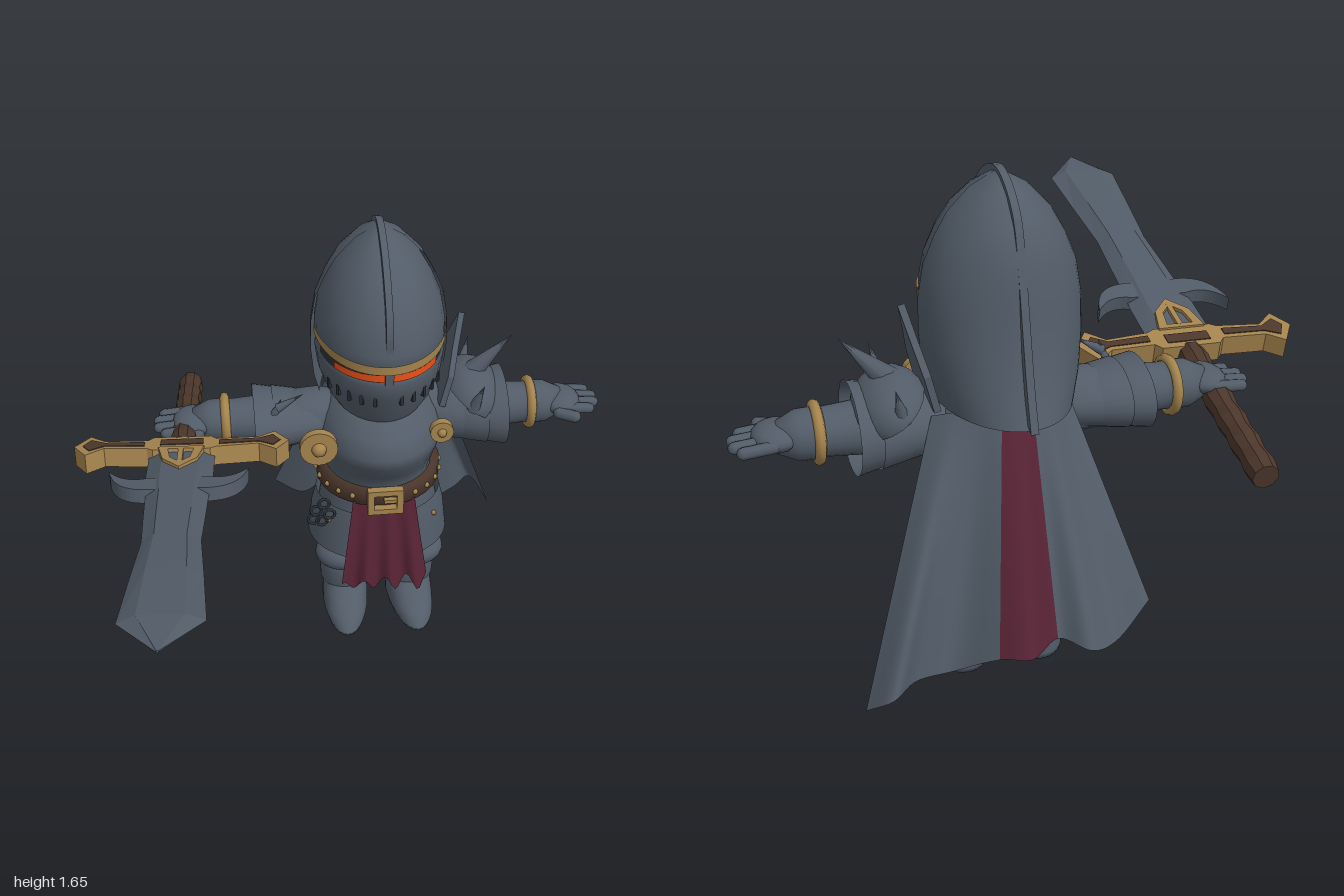
import * as THREE from 'three';

const mat = (name, color, side = THREE.FrontSide) =>
  Object.assign(new THREE.MeshStandardMaterial({ color, side }), { name });
const V = (x, y, z) => new THREE.Vector3(x, y, z);
const DEG = Math.PI / 180;

// Surface through rows of points; closed rows wrap round
function skin(rows, closed = true) {
  const n = rows[0].length, idx = [], m = closed ? n : n - 1;
  for (let i = 0; i < rows.length - 1; i++) for (let j = 0; j < m; j++) {
    const k = (j + 1) % n, a = i * n + j, b = i * n + k, c = b + n, d = a + n;
    idx.push(a, b, c, a, c, d);
  }
  const g = new THREE.BufferGeometry().setFromPoints(rows.flat());
  g.setIndex(idx);
  g.computeVertexNormals();
  return g;
}
const flat = g => { const f = g.index ? g.toNonIndexed() : g; f.computeVertexNormals(); return f; };

// Oval section: half width w, depth f to the front and b to the back
const ovalPoint = (a, y, w, f, b) => V(Math.sin(a) * w, y, Math.cos(a) * (Math.cos(a) > 0 ? f : b));
const oval = ([y, w, f, b]) => Array.from({ length: 32 }, (_, i) => ovalPoint(i / 32 * Math.PI * 2, y, w, f, b));
const shell = rows => skin(rows.map(oval));
// Open strip of an oval shell between two angles
function band(rows, a0, a1, rise = 0) {
  return skin(rows.map(([y, w, f, b]) => Array.from({ length: 29 }, (_, i) => {
    const a = (a0 + (a1 - a0) * i / 28) * DEG;
    return ovalPoint(a, y + rise * (1 - Math.cos(a)), w, f, b);
  })), false);
}
const plate = (pts, depth, hole) => {
  const s = new THREE.Shape(pts.map(p => new THREE.Vector2(...p)));
  if (hole) s.holes.push(new THREE.Path(hole.map(p => new THREE.Vector2(...p))));
  return new THREE.ExtrudeGeometry(s, { depth, bevelEnabled: false }).translate(0, 0, -depth / 2);
};
const lathe = pts => new THREE.LatheGeometry(pts.map(p => new THREE.Vector2(...p)), 24);

export function createModel() {
  const DS = THREE.DoubleSide;
  const steel = mat('steel', 0x525c68, DS), dark = mat('dark iron', 0x2a2f36), brass = mat('brass', 0xa5844e, DS),
    leather = mat('leather', 0x4c372c), red = mat('crimson cloth', 0x582335, DS), glow = mat('orange glow', 0xf0541a, DS);
  const model = new THREE.Group(), body = new THREE.Group();
  body.name = 'knight';
  body.position.set(0.13, 0, -0.53);
  model.add(body);
  const add = (name, geo, material, parent = body, x = 0, y = 0, z = 0) => {
    const m = new THREE.Mesh(geo, material);
    m.name = name;
    m.position.set(x, y, z);
    parent.add(m);
    return m;
  };
  const spike = (name, a, b, r, parent = body) => {
    const d = b.clone().sub(a), m = add(name, new THREE.ConeGeometry(r, d.length(), 8), steel, parent);
    m.position.copy(a).addScaledVector(d, 0.5);
    m.quaternion.setFromUnitVectors(V(0, 1, 0), d.normalize());
  };

  // Helmet with recessed eye slit
  add('helmet', shell([[0.98, 0.16, 0.22, 0.18], [1.03, 0.19, 0.25, 0.2], [1.12, 0.222, 0.29, 0.21], [1.19, 0.23, 0.315, 0.21],
    [1.195, 0.22, 0.292, 0.21], [1.238, 0.22, 0.292, 0.21], [1.243, 0.23, 0.31, 0.215], [1.3, 0.23, 0.31, 0.22],
    [1.38, 0.215, 0.288, 0.22], [1.46, 0.182, 0.25, 0.2], [1.53, 0.142, 0.19, 0.17], [1.59, 0.085, 0.12, 0.11],
    [1.63, 0.03, 0.045, 0.05], [1.645, 0, 0, 0]]), steel);
  add('eyeSlit', band([[1.196, 0.222, 0.295, 0.2], [1.237, 0.222, 0.295, 0.2]], -75, 75), dark);
  add('eyeGlow', band([[1.2, 0.226, 0.3, 0.2], [1.227, 0.226, 0.3, 0.2]], -52, 52), glow);
  add('browBand', band([[1.238, 0.235, 0.317, 0.23], [1.272, 0.236, 0.318, 0.23]], -85, 85, 0.02), brass);
  add('noseBar', new THREE.BoxGeometry(0.03, 0.05, 0.02), steel, body, 0, 1.215, 0.3);
  for (const deg of [12, 24, 36, 48, 60]) for (const s of [-1, 1]) {
    const p = ovalPoint(s * deg * DEG, 1.115, 0.219, 0.286, 0.2);
    add('breathSlot', new THREE.BoxGeometry(0.012, 0.04, 0.016), dark, body, p.x, p.y, p.z).rotation.y = s * deg * DEG;
  }
  // Flared hood and crest
  add('hood', band([[0.97, 0.21, 0.1, 0.33], [1.06, 0.235, 0.1, 0.295], [1.17, 0.245, 0.1, 0.265], [1.28, 0.243, 0.1, 0.248],
    [1.38, 0.226, 0.1, 0.235], [1.46, 0.192, 0.1, 0.215], [1.53, 0.152, 0.1, 0.182], [1.6, 0.085, 0.07, 0.115], [1.642, 0.01, 0.02, 0.04]], 85, 275), steel);
  const crest = new THREE.CatmullRomCurve3([[0.305, 1.31], [0.302, 1.39], [0.265, 1.48], [0.15, 1.6], [0.01, 1.655], [-0.09, 1.63],
    [-0.18, 1.55], [-0.23, 1.4], [-0.275, 1.23], [-0.31, 1.1], [-0.355, 0.97]].map(p => V(p[0], p[1], 0))).getPoints(40);
  add('crest', plate([...crest.map(p => [p.x, p.y]),
    ...crest.slice().reverse().map(p => [p.x * 0.86, 1.2 + (p.y - 1.2) * 0.9])], 0.024).rotateY(-Math.PI / 2), steel);

  // Torso, belt and armoured skirt
  add('breastplate', shell([[0.6, 0.205, 0.2, 0.18], [0.7, 0.2, 0.215, 0.18], [0.76, 0.212, 0.255, 0.185], [0.83, 0.23, 0.305, 0.19],
    [0.88, 0.235, 0.32, 0.19], [0.94, 0.21, 0.285, 0.19], [0.99, 0.17, 0.22, 0.17], [1.02, 0.13, 0.15, 0.14]]), steel);
  add('belt', shell([[0.62, 0.2, 0.2, 0.17], [0.62, 0.232, 0.232, 0.192], [0.685, 0.232, 0.232, 0.192], [0.69, 0.2, 0.2, 0.17]]), leather);
  for (let i = 2; i < 23; i++) {
    const p = ovalPoint(i * 15 * DEG, 0.653, 0.233, 0.233, 0.193);
    add('beltStud', new THREE.SphereGeometry(0.011, 6, 4), brass, body, p.x, p.y, p.z);
  }
  const rect = (w, h) => [[-w, -h], [w, -h], [w, h], [-w, h]];
  add('buckle', plate(rect(0.066, 0.052), 0.03, rect(0.042, 0.03)), brass, body, 0, 0.653, 0.245);
  add('bucklePin', new THREE.BoxGeometry(0.05, 0.014, 0.02), brass, body, 0.02, 0.653, 0.245);
  add('fauld', shell([[0.38, 0.235, 0.215, 0.195], [0.5, 0.228, 0.208, 0.19], [0.63, 0.205, 0.19, 0.18]]), steel);
  for (const s of [-1, 1]) {
    add('tasset', band([[0.36, 0.268, 0.235, 0.205], [0.48, 0.255, 0.225, 0.2], [0.56, 0.235, 0.212, 0.19]], s > 0 ? 28 : -140, s > 0 ? 140 : -28), steel);
    add('tassetRivet', new THREE.SphereGeometry(0.01, 6, 4), brass, body, s * 0.2, 0.5, 0.14);
  }

  // Hanging cloth with folds and a ragged hem
  const cloth = (name, sign, top, bottom, hem) => {
    const rows = [];
    for (let i = 0; i <= 8; i++) {
      const v = i / 8;
      rows.push(Array.from({ length: 25 }, (_, j) => {
        const u = j / 12 - 1, rag = 0.03 * v * v * Math.sin(j * 1.05 + 1);
        return V(u * (0.115 + 0.05 * v), 0.63 + (hem - 0.63) * v + rag, sign * (top + (bottom - top) * v + 0.018 * v * Math.cos(j * 0.9)));
      }));
    }
    add(name, skin(rows, false), red);
  };
  cloth('frontTabard', 1, 0.205, 0.245, 0.255);
  cloth('backTabard', -1, 0.19, 0.23, 0.24);

  // Cape in three panels, with a wavy hem
  const hem = new THREE.CatmullRomCurve3([[-0.25, 0.34, -0.88], [-0.13, 0.24, -0.92], [-0.03, 0.26, -0.97], [0.05, 0.28, -0.91], [0.17, 0.29, -1],
    [0.25, 0.28, -0.96], [0.38, 0.2, -0.87], [0.5, 0.22, -0.91], [0.58, 0.22, -0.98], [0.65, 0.14, -0.9]].map(p => V(...p)));
  const cape = (name, t0, t1, material) => {
    const rows = [];
    for (let i = 0; i <= 12; i++) rows.push(Array.from({ length: 21 }, (_, j) => {
      const t = t0 + (t1 - t0) * j / 20, e = hem.getPoint(t), u = 2 * t - 1;
      return V(-0.06 + 0.43 * t, 1.0 - 0.05 * u * u, -0.735 + 0.09 * u * u).lerp(e, i / 12);
    }));
    add(name, skin(rows, false), material, model);
  };
  cape('capeRight', 0, 0.34, steel);
  cape('capeStripe', 0.34, 0.56, red);
  cape('capeLeft', 0.56, 1, steel);

  // Legs and arms, mirrored
  for (const s of [-1, 1]) {
    const leg = new THREE.Group();
    leg.name = s > 0 ? 'leftLeg' : 'rightLeg';
    leg.position.x = s * 0.128;
    leg.rotation.y = s * 0.05;
    body.add(leg);
    add('boot', shell([[0, 0, 0, 0], [0, 0.085, 0.25, 0.1], [0.02, 0.09, 0.258, 0.102], [0.05, 0.09, 0.215, 0.1],
      [0.085, 0.088, 0.14, 0.097], [0.13, 0.085, 0.085, 0.092]]), steel, leg);
    add('greave', shell([[0.1, 0.088, 0.088, 0.095], [0.12, 0.096, 0.096, 0.1], [0.19, 0.1, 0.102, 0.105], [0.25, 0.094, 0.09, 0.098], [0.27, 0.07, 0.07, 0.08]]), steel, leg);
    add('thigh', shell([[0.25, 0.085, 0.08, 0.08], [0.33, 0.1, 0.095, 0.09], [0.42, 0.095, 0.1, 0.1]]), steel, leg);
    add('kneeCop', new THREE.SphereGeometry(1, 20, 12), steel, leg, 0.008 * s, 0.295, 0.075).scale.set(0.11, 0.065, 0.1);

    const arm = new THREE.Group();
    arm.name = s > 0 ? 'leftArm' : 'rightArm';
    arm.position.y = 0.888;
    arm.rotation.z = -s * Math.PI / 2;
    body.add(arm);
    add('sleeve', lathe([[0.09, 0.15], [0.105, 0.22], [0.1, 0.3], [0.08, 0.34], [0.088, 0.4], [0.082, 0.46], [0.075, 0.55]]), steel, arm);
    add('gauntletCuff', lathe([[0.07, 0.5], [0.08, 0.56], [0.078, 0.62], [0.05, 0.68], [0, 0.69]]), steel, arm);
    add('cuffRing', new THREE.TorusGeometry(0.083, 0.017, 8, 24).rotateX(Math.PI / 2), brass, arm, 0, 0.562, 0);
    for (const [y, r] of [[0.26, 0.125], [0.33, 0.14], [0.4, 0.15]])
      add('pauldronLame', lathe([[r * 0.72, y - 0.08], [r * 0.92, y - 0.03], [r, y + 0.02], [r * 1.06, y + 0.06]]), steel, arm).scale.set(s > 0 ? 0.88 : 0.7, 1, s > 0 ? 1.08 : 1);

    // Hand with four fingers and a thumb
    add('palm', new THREE.SphereGeometry(1, 16, 10), steel, body, s * 0.68, 0.895, 0.005).scale.set(0.075, 0.042, 0.088);
    for (let i = 0; i < 4; i++) {
      const len = [0.09, 0.11, 0.11, 0.085][i];
      const f = add('finger', new THREE.CapsuleGeometry(0.02, len, 4, 8), steel, body, s * (0.695 + len / 2), 0.888, -0.065 + i * 0.043);
      f.rotation.z = -s * (Math.PI / 2 + 0.08);
    }
    const thumb = add('thumb', new THREE.CapsuleGeometry(0.022, 0.06, 4, 8), steel, body, s * 0.69, 0.885, 0.1);
    thumb.rotation.set(0, -s * 0.5, -s * 1.6);
  }

  // Shoulder discs and spiked left pauldron
  for (const [x, y, r] of [[-0.24, 0.9, 0.068], [0.2, 0.94, 0.042]]) {
    add('shoulderDisc', new THREE.CylinderGeometry(r, r, 0.03, 20).rotateX(Math.PI / 2), brass, body, x, y, 0.23);
    add('discBoss', new THREE.SphereGeometry(r * 0.4, 10, 8), brass, body, x, y, 0.245);
  }
  const guard = add('shoulderGuard', plate([[-0.12, -0.04], [0.11, -0.04], [0.1, 0.08], [0.04, 0.17], [-0.02, 0.28], [-0.07, 0.17], [-0.12, 0.08]], 0.022).rotateY(-Math.PI / 2), steel, body, 0.23, 1.0, 0);
  guard.rotation.z = -0.25;
  const dome = add('shoulderPlate', new THREE.SphereGeometry(1, 20, 10, 0, Math.PI * 2, 0, Math.PI / 2), steel, body, 0.34, 0.95, -0.01);
  dome.scale.set(0.12, 0.11, 0.17);
  dome.rotation.z = -0.6;
  spike('mainSpike', V(0.33, 1.02, 0), V(0.485, 1.18, 0), 0.045);
  for (const z of [-0.16, 0.15]) spike('sideSpike', V(0.33, 0.96, z * 0.9), V(0.36, 1.08, z * 1.15), 0.026);
  spike('rightHornBase', V(-0.4, 0.92, 0.08), V(-0.36, 1.03, 0.1), 0.025);
  spike('rightHornTip', V(-0.375, 0.99, 0.1), V(-0.28, 1.045, 0.1), 0.018);

  // Rings hanging at the hip
  for (const [x, y] of [[-0.22, 0.6], [-0.25, 0.57], [-0.2, 0.55], [-0.23, 0.52], [-0.26, 0.53]])
    add('hipRing', new THREE.TorusGeometry(0.02, 0.006, 6, 12), dark, body, x, y, 0.17);

  // Sword, its blade along local +z
  const sword = new THREE.Group();
  sword.name = 'sword';
  sword.position.set(-0.605, 0.975, 0);
  sword.lookAt(-0.605 - 0.048, 0.975 + 0.207, 1);
  model.add(sword);
  const blade = [[-0.3, 0.115, 0.028], [-0.08, 0.115, 0.032], [0.04, 0.105, 0.032], [0.2, 0.1, 0.032], [0.37, 0.093, 0.032], [0.6, 0.11, 0.032], [0.86, 0.127, 0.026], [1.015, 0.004, 0.003]];
  add('blade', flat(skin(blade.map(([z, w, t]) => [[1, 0], [0.55, 1], [-0.55, 1], [-1, 0], [-0.55, -1], [0.55, -1]].map(p => V(p[0] * w, p[1] * t, z))))), steel, sword);
  const cres = new THREE.Shape();
  cres.moveTo(-0.235, -0.11);
  cres.quadraticCurveTo(-0.21, 0.05, -0.08, 0.04).lineTo(0.08, 0.04).quadraticCurveTo(0.21, 0.05, 0.235, -0.11);
  cres.quadraticCurveTo(0.18, -0.02, 0.1, -0.05).lineTo(-0.1, -0.05).quadraticCurveTo(-0.18, -0.02, -0.235, -0.11);
  add('bladeHorns', new THREE.ExtrudeGeometry(cres, { depth: 0.05, bevelEnabled: false }).translate(0, 0, -0.025).rotateX(Math.PI / 2), steel, sword);
  const mirror = pts => [...pts, ...pts.slice().reverse().map(([x, y]) => [-x, y])];
  const lay = (pts, h, hole) => plate(pts, h, hole).rotateX(Math.PI / 2);
  add('crossguard', lay(mirror([[0, -0.37], [0.1, -0.37], [0.12, -0.345], [0.27, -0.35], [0.325, -0.395], [0.375, -0.31], [0.33, -0.235], [0.27, -0.29], [0.12, -0.275], [0.1, -0.26], [0, -0.26]].reverse()), 0.07), brass, sword);
  for (const s of [-1, 1])
    add('guardInlay', lay([[0.13, -0.328], [0.27, -0.332], [0.32, -0.36], [0.345, -0.31], [0.32, -0.27], [0.27, -0.305], [0.13, -0.295]].map(([x, y]) => [s * x, y]), 0.076), leather, sword);
  add('guardCentreInlay', lay([[-0.075, -0.345], [0.075, -0.345], [0.075, -0.3], [-0.075, -0.3]], 0.076), leather, sword);
  add('guardCrest', lay([[-0.08, -0.27], [0.08, -0.27], [0.06, -0.17], [0, -0.1], [-0.06, -0.17]], 0.085, [[-0.045, -0.25], [0.045, -0.25], [0.035, -0.18], [0, -0.14], [-0.035, -0.18]]), brass, sword);
  add('guardCrestBar', new THREE.BoxGeometry(0.018, 0.086, 0.13), brass, sword, 0, 0, -0.19);
  const wrap = Array.from({ length: 13 }, (_, i) => new THREE.Vector2(0.043 + (i % 2) * 0.006, i * 0.0535));
  add('grip', flat(new THREE.LatheGeometry([new THREE.Vector2(0, 0), ...wrap], 9).rotateX(Math.PI / 2)), leather, sword, 0, 0, -1.0);
  return model;
}
